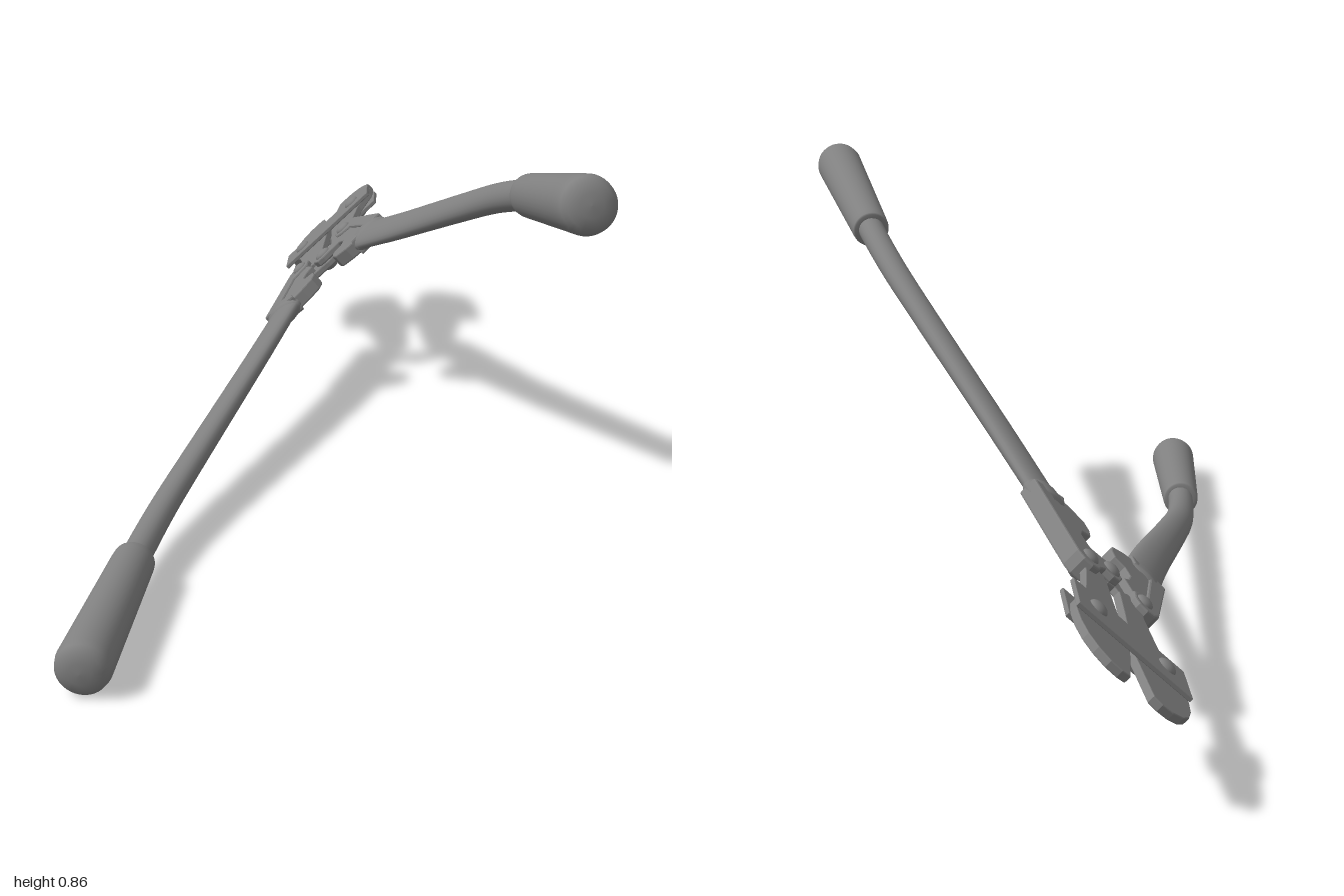
import * as THREE from 'three';

const steel = new THREE.MeshStandardMaterial({ color: 0x808080 });
const V = (x, y, z = 0) => new THREE.Vector3(x, y, z);

function add(parent, name, geometry) {
  const mesh = new THREE.Mesh(geometry, steel);
  mesh.name = name;
  parent.add(mesh);
  return mesh;
}

// Flat plate centred on the tool's plane; s mirrors the outline
function plateGeometry(points, thickness, s = 1, bevel = 0.003) {
  const shape = new THREE.Shape(points.map(([x, y]) => new THREE.Vector2(x * s, y)));
  const depth = thickness - 2 * bevel;
  const g = new THREE.ExtrudeGeometry(shape, {
    depth, bevelSize: bevel, bevelThickness: bevel, bevelOffset: -bevel, bevelSegments: 2,
  });
  return g.translate(0, 0, -depth / 2);
}

// Bolt with a domed head on each face
function bolt(parent, name, x, y, radius, faceHeight) {
  const g = new THREE.Group();
  g.name = name;
  g.position.set(x, y, 0);
  for (const side of [1, -1]) {
    const dome = add(g, 'boltHead',
      new THREE.SphereGeometry(radius, 20, 8, 0, Math.PI * 2, 0, Math.PI / 2));
    dome.rotation.x = side * Math.PI / 2;
    dome.scale.y = 0.55;
    dome.position.z = side * faceHeight;
  }
  parent.add(g);
}

// Oval section swept along an in-plane curve; size(t) gives [half width, half depth]
function sweepGeometry(curve, size, steps) {
  const sides = 24, pos = [], index = [];
  for (let i = 0; i <= steps; i++) {
    const t = i / steps, p = curve.getPointAt(t), d = curve.getTangentAt(t);
    const [w, h] = size(t);
    for (let j = 0; j < sides; j++) {
      const a = (j / sides) * Math.PI * 2, c = Math.cos(a) * w;
      pos.push(p.x - d.y * c, p.y + d.x * c, Math.sin(a) * h);
      if (i === steps) continue;
      const k = (j + 1) % sides, r = i * sides, q = r + sides;
      index.push(r + j, r + k, q + j, r + k, q + k, q + j);
    }
  }
  const g = new THREE.BufferGeometry();
  g.setAttribute('position', new THREE.Float32BufferAttribute(pos, 3));
  g.setIndex(index);
  g.computeVertexNormals();
  return g;
}

const HANDLE = [[0.12, -0.14], [0.202, -0.345], [0.281, -0.53], [0.358, -0.71],
  [0.431, -0.89], [0.478, -1.05], [0.494, -1.13]];
// Raised L-shaped edge of the lever, round its outer side and along the socket
const LEVER_RIB = [[0.042, 0.062], [0.05, 0.078], [0.068, 0.086], [0.088, 0.082], [0.102, 0.066],
  [0.114, 0.03], [0.172, -0.143], [0.088, -0.18], [0.092, -0.15], [0.128, -0.132],
  [0.086, 0.008], [0.06, 0.018], [0.046, 0.03]];
const LEVER_PLATE = [[0.05, 0.03], [0.1, 0.02], [0.155, -0.14], [0.09, -0.174], [0.066, -0.168],
  [0.036, -0.15], [0.028, -0.125], [0.031, -0.098], [0.054, -0.086], [0.062, -0.06],
  [0.05, -0.03], [0.035, -0.015]];
const HINGE_TAB = [[0, -0.03], [0.018, -0.026], [0.05, -0.025], [0.075, 0], [0.07, 0.05],
  [0.035, 0.042], [0.018, 0.024], [0, 0.03], [-0.018, 0.024], [-0.029, 0], [-0.018, -0.024]];

// Handle, grip, collar and lever of one side
function makeArm(s) {
  const arm = new THREE.Group();
  arm.name = s > 0 ? 'leftArm' : 'rightArm';

  const curve = new THREE.CatmullRomCurve3(HANDLE.map(([x, y]) => V(x * s, y)));
  add(arm, 'handleTube', sweepGeometry(curve, (t) => [0.044 - 0.016 * t, 0.018 + 0.01 * t], 48));

  // Collar round the end of the tube, closing in at both ends
  const collar = new THREE.LineCurve3(V(0.118 * s, -0.13), V(0.136 * s, -0.176));
  add(arm, 'collar', sweepGeometry(collar, (t) => {
    const k = 1 - 0.25 * Math.abs(2 * t - 1) ** 6;
    return [0.047 * k, 0.023 * k];
  }, 10));

  // Grip, turned along its own axis from the open end to the rounded butt
  const profile = [[0.026, 0], [0.036, 0], [0.039, 0.004], [0.04, 0.02], [0.049, 0.34],
    [0.05, 0.375], [0.047, 0.391], [0.038, 0.402], [0.02, 0.408], [0, 0.409]]
    .map(([r, y]) => new THREE.Vector2(r, y));
  const grip = add(arm, 'grip', new THREE.LatheGeometry(profile, 36));
  grip.position.set(0.485 * s, -1.078, 0);
  grip.quaternion.setFromUnitVectors(V(0, 1), V(0.076 * s, -0.39).normalize());

  add(arm, 'leverRib', plateGeometry(LEVER_RIB, 0.04, s, 0.004));
  add(arm, 'leverPlate', plateGeometry(LEVER_PLATE, 0.03, s));
  // The two hinge tabs overlap, one above the other
  add(arm, 'hingeTab', plateGeometry(HINGE_TAB, 0.015, s)).position.z = s * 0.0075;
  bolt(arm, 'leverBolt', 0.068 * s, 0.05, 0.018, 0.019);
  return arm;
}

const JAW = [[0.026, 0.458], [0.045, 0.464], [0.07, 0.461], [0.095, 0.445], [0.114, 0.42],
  [0.126, 0.385], [0.13, 0.345], [0.125, 0.3], [0.095, 0.24], [0.086, 0.19], [0.072, 0.1],
  [0.07, 0.045], [0.04, 0.035], [0.016, 0.06], [0.013, 0.15], [0.007, 0.25], [0.006, 0.34]];
const BRIDGE = [[-0.131, 0.24], [0.131, 0.24], [0.131, 0.342], [-0.131, 0.342]];

function makeJaws() {
  const jaws = new THREE.Group();
  jaws.name = 'jaws';
  for (const s of [1, -1]) {
    add(jaws, s > 0 ? 'leftJaw' : 'rightJaw', plateGeometry(JAW, 0.016, s, 0.002));
    bolt(jaws, 'bridgeBolt', 0.08 * s, 0.29, 0.019, 0.016);
    // Bridge plate on each face
    add(jaws, 'bridgePlate', plateGeometry(BRIDGE, 0.009, 1, 0.0015)).position.z = s * 0.0125;
  }
  jaws.rotation.z = -0.055;
  return jaws;
}

export function createModel() {
  const tool = new THREE.Group();
  tool.name = 'boltCutter';
  tool.add(makeArm(1), makeArm(-1), makeJaws());
  bolt(tool, 'centreBolt', 0, 0, 0.019, 0.014);

  // Lay the tool on its tilted plane, with the jaws toward the back
  const across = V(0.7207, 0.68, -0.135).normalize();
  const forward = V(-0.082, -0.111, -0.99).normalize();
  const normal = across.clone().cross(forward).normalize();
  forward.crossVectors(normal, across);
  tool.quaternion.setFromRotationMatrix(new THREE.Matrix4().makeBasis(across, forward, normal));
  tool.position.set(-0.115, 0.27, -0.54);

  const model = new THREE.Group();
  model.name = 'model';
  model.add(tool);
  return model;
}
